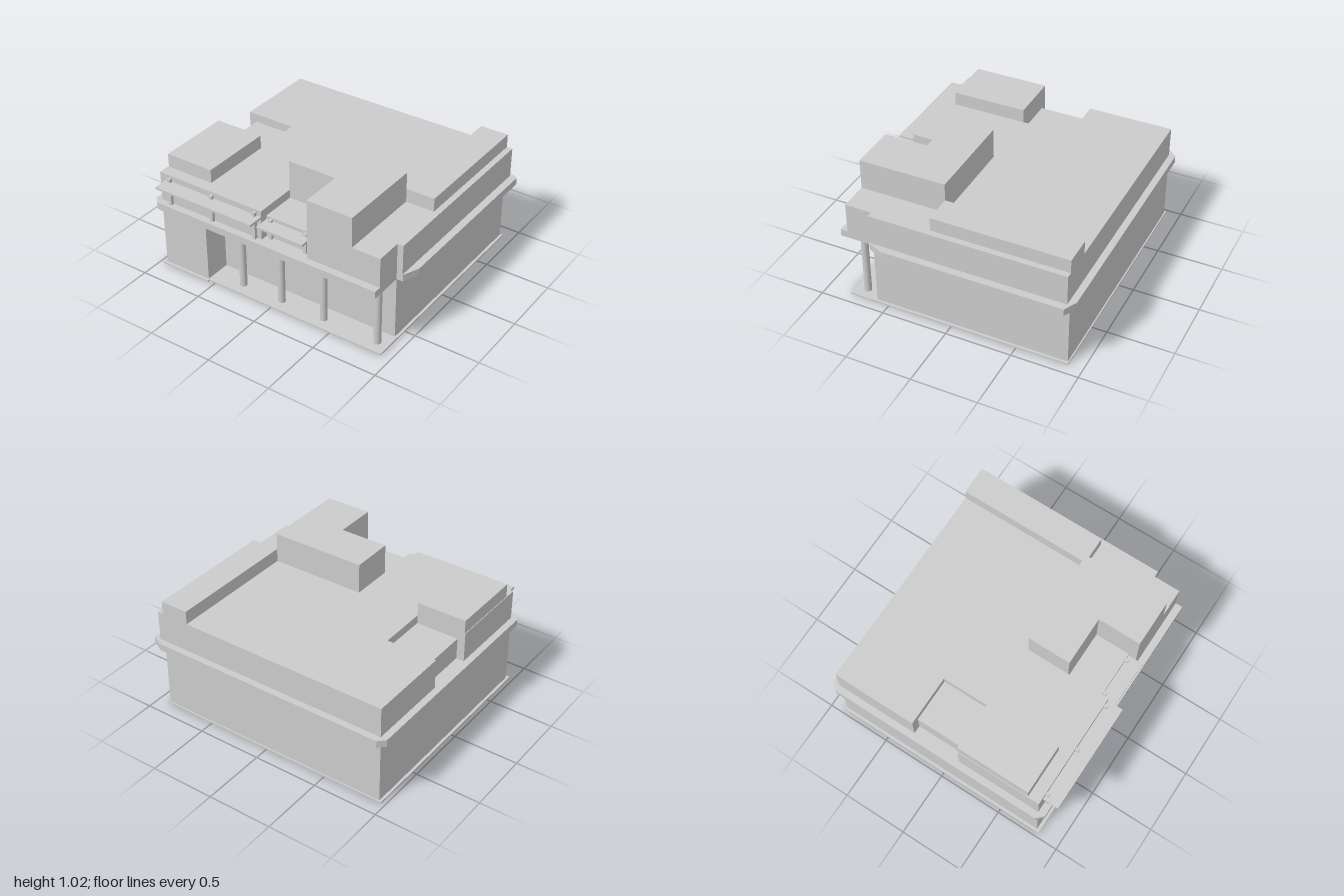
import * as THREE from 'three';

const material = new THREE.MeshStandardMaterial({ color: 0xcccccc, flatShading: true });
const smooth = new THREE.MeshStandardMaterial({ color: 0xcccccc });

export function createModel() {
  const group = new THREE.Group();

  const add = (name, geometry, mat = material) => {
    const mesh = new THREE.Mesh(geometry, mat);
    mesh.name = name;
    group.add(mesh);
    return mesh;
  };

  // Prism over a floor plan of [x, z] corners, from y0 up to y1
  const prism = (name, plan, y0, y1) => {
    const shape = new THREE.Shape(plan.map(([x, z]) => new THREE.Vector2(x, -z)));
    const geometry = new THREE.ExtrudeGeometry(shape, { depth: y1 - y0, bevelEnabled: false });
    geometry.rotateX(-Math.PI / 2).translate(0, y0, 0);
    return add(name, geometry);
  };

  const box = (name, x0, x1, y0, y1, z0, z1) => {
    const geometry = new THREE.BoxGeometry(x1 - x0, y1 - y0, z1 - z0);
    geometry.translate((x0 + x1) / 2, (y0 + y1) / 2, (z0 + z1) / 2);
    return add(name, geometry);
  };

  // Ground slab, slightly deeper in front of the solid wing
  prism('baseSlab', [
    [-0.97, -0.89], [0.92, -0.89], [0.92, 0.81], [-0.55, 0.81], [-0.55, 0.83], [-0.97, 0.83],
  ], 0, 0.012);

  // Ground floor with an open porch along the front
  prism('groundFloor', [
    [-0.95, -0.88], [0.9, -0.88], [0.9, 0.6], [-0.56, 0.6], [-0.56, 0.805], [-0.95, 0.805],
  ], 0.012, 0.5);

  // Porch columns
  for (const x of [-0.31, 0.03, 0.39, 0.833]) {
    const column = add('porchColumn', new THREE.CylinderGeometry(0.027, 0.027, 0.488, 24), smooth);
    column.position.set(x, 0.256, 0.715);
  }

  // Projecting ledge between the floors, with cut corners
  prism('ledge', [
    [-1, -0.88], [-0.95, -0.93], [0.9, -0.93], [1, -0.88], [1, 0.48], [0.95, 0.6],
    [0.9, 0.6], [0.9, 0.86], [-0.95, 0.86], [-1, 0.81],
  ], 0.5, 0.555);

  // Upper floor, set back at the front bay and the side recess
  prism('upperFloor', [
    [-0.95, -0.88], [0.945, -0.88], [0.945, 0.6], [0.9, 0.6], [0.9, 0.805], [0.32, 0.805],
    [0.32, 0.745], [-0.06, 0.745], [-0.06, 0.805], [-0.95, 0.805],
    [-0.95, 0.145], [-0.89, 0.145], [-0.89, -0.23], [-0.95, -0.23],
  ], 0.555, 0.72);

  // Roof layer, open above the bay and the recess
  prism('mainRoof', [
    [-0.95, -0.88], [0.945, -0.88], [0.945, 0.6], [0.9, 0.6], [0.9, 0.805], [0.32, 0.805],
    [0.32, 0.475], [-0.06, 0.475], [-0.06, 0.805], [-0.95, 0.805],
    [-0.95, 0.145], [-0.56, 0.145], [-0.56, -0.23], [-0.95, -0.23],
  ], 0.72, 0.785);

  // Raised roof volumes
  prism('tallRoofBlock', [
    [-0.06, 0.145], [0.68, 0.145], [0.68, 0.805], [0.32, 0.805], [0.32, 0.475], [-0.06, 0.475],
  ], 0.785, 1.017);
  box('sideRoofBlock', 0.68, 0.9, 0.785, 0.888, -0.88, 0.145);
  box('cornerRoofBlock', -0.945, -0.56, 0.785, 0.89, 0.145, 0.715);

  // Shelf canopies on slim posts
  const canopy = (x0, x1, y, z, depth, postTop, posts) => {
    box('canopy', x0, x1, y, y + 0.016, z, z + depth);
    for (const x of posts) box('canopyPost', x - 0.012, x + 0.012, 0.555, postTop, z, z + 0.025);
  };
  canopy(-0.895, -0.06, 0.724, 0.805, 0.12, 0.768, [-0.855, -0.48, -0.11]);
  canopy(-0.06, 0.32, 0.677, 0.745, 0.115, 0.71, [-0.015, 0.275]);

  return group;
}
